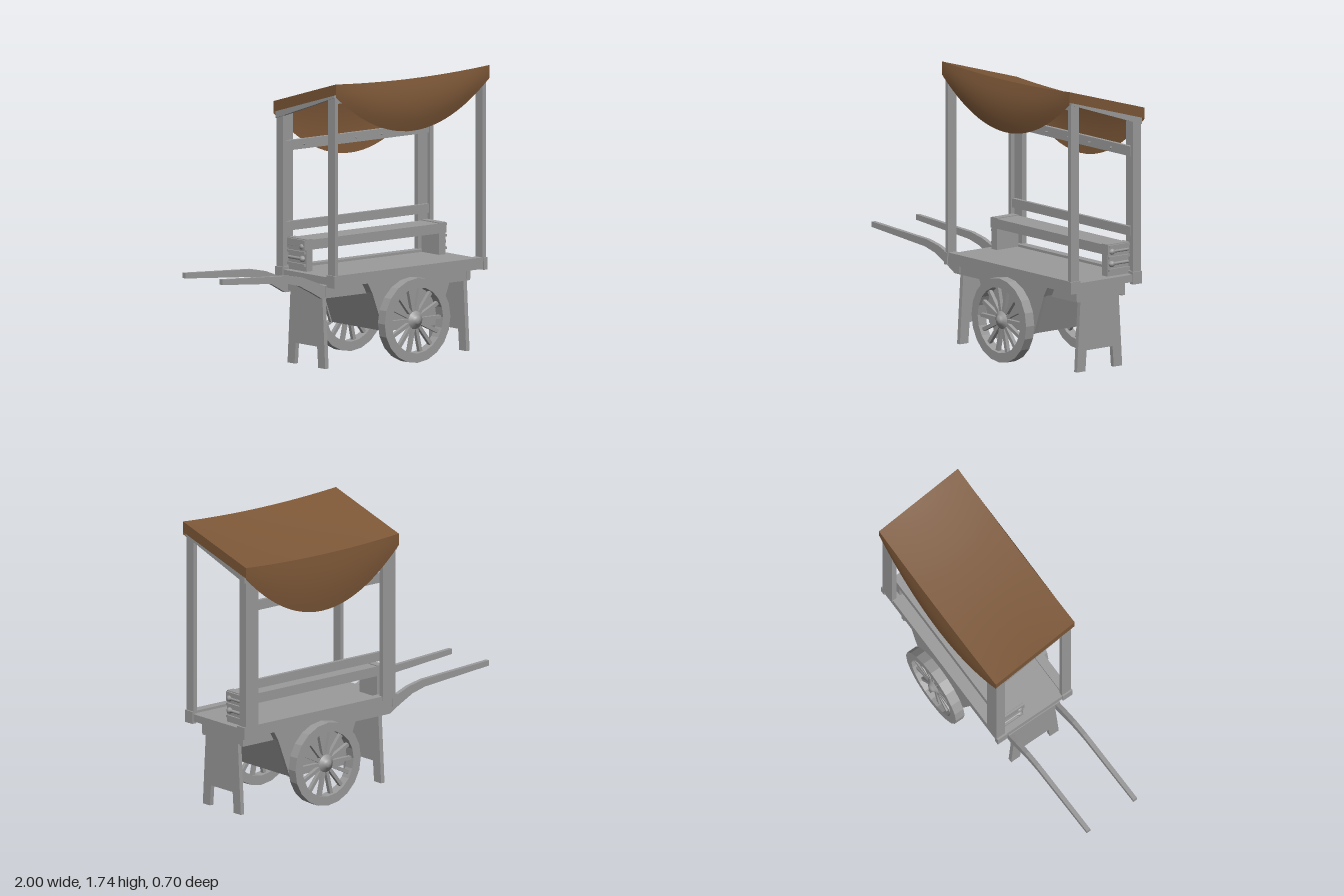
import * as THREE from 'three';

const CX = 0.395; // middle of the cart body along x
const HALF = 0.601; // half length of the canopy

export function createModel() {
  const root = new THREE.Group();
  root.name = 'marketCart';
  const wood = new THREE.MeshStandardMaterial({ color: 0x9b9b9b });
  wood.name = 'grey wood';
  const cloth = new THREE.MeshStandardMaterial({ color: 0x7c5737, side: THREE.DoubleSide });
  cloth.name = 'brown cloth';

  const add = (name, geo, mat = wood, parent = root) => {
    const m = new THREE.Mesh(geo, mat);
    m.name = name;
    parent.add(m);
    return m;
  };
  // box from its minimum and maximum corners
  const box = (name, x0, x1, y0, y1, z0, z1) => {
    const m = add(name, new THREE.BoxGeometry(x1 - x0, y1 - y0, z1 - z0));
    m.position.set((x0 + x1) / 2, (y0 + y1) / 2, (z0 + z1) / 2);
    return m;
  };
  const plate = (pts, depth) => new THREE.ExtrudeGeometry(
    new THREE.Shape(pts.map(p => new THREE.Vector2(p[0], p[1]))), { depth, bevelEnabled: false });
  // the same box at both ends of the body; distances run outward from CX
  const ends = (name, d0, d1, y0, y1, z0, z1) => {
    box(name, CX + d0, CX + d1, y0, y1, z0, z1);
    box(name, CX - d1, CX - d0, y0, y1, z0, z1);
  };

  // deck with its edge rails and corner blocks
  box('deck', -0.19, 0.98, 0.515, 0.56, -0.22, 0.22);
  for (const z of [-0.268, 0.212]) box('deckRail', -0.18, 0.97, 0.505, 0.575, z, z + 0.056);
  ends('deckEndRail', 0.57, 0.592, 0.515, 0.56, -0.21, 0.21);
  for (const z of [-0.275, 0.205]) ends('cornerBlock', 0.57, 0.6, 0.5, 0.575, z, z + 0.07);

  // posts: thin in front, L-shaped behind
  ends('frontPost', 0.565, 0.59, 0.55, 1.69, 0.205, 0.27);
  ends('backPost', 0.562, 0.588, 0.55, 1.54, -0.275, -0.215);
  ends('backPostBoard', 0.49, 0.562, 0.55, 1.56, -0.275, -0.24);

  // sloping roof rails at the ends and a long one along the front
  for (const x of [CX - 0.598, CX + 0.565]) {
    const rail = add('roofEndRail', plate(
      [[-0.272, 1.695], [-0.272, 1.655], [0.275, 1.47], [0.275, 1.545]], 0.033));
    rail.rotation.y = Math.PI / 2;
    rail.position.x = x;
  }
  box('roofFrontRail', -0.17, 0.96, 1.61, 1.66, 0.215, 0.24);

  // back boards, the upper one with pegs
  box('upperBackBoard', -0.163, 0.95, 1.275, 1.335, -0.24, -0.217);
  box('lowerBackBoard', -0.163, 0.95, 0.79, 0.845, -0.24, -0.217);
  for (let i = 0; i < 5; i++) {
    const peg = add('peg', new THREE.CylinderGeometry(0.005, 0.005, 0.02, 8));
    peg.rotation.x = Math.PI / 2;
    peg.position.set(-0.03 + i * 0.202, 1.303, -0.21);
  }

  // shelf with end supports and turned spindles
  box('shelf', -0.163, 0.948, 0.69, 0.75, -0.215, -0.05);
  ends('shelfSupport', 0.495, 0.545, 0.555, 0.755, -0.215, -0.05);
  const spindle = new THREE.LatheGeometry([[0, -0.08], [0.01, -0.07], [0.009, 0.035],
    [0.019, 0.048], [0.019, 0.062], [0.01, 0.073], [0, 0.075]].map(p => new THREE.Vector2(...p)), 12);
  for (const y of [0.635, 0.71]) for (const s of [-1, 1]) {
    const m = add('spindle', spindle);
    m.rotation.x = Math.PI / 2;
    m.position.set(CX + s * 0.549, y, -0.135);
  }
  for (const y of [0.59, 0.665, 0.735]) ends('shelfSlat', 0.54, 0.558, y, y + 0.015, -0.215, -0.055);

  // shafts: long beams that bend up into the handles
  const shaft = plate([[0.935, 0.43], [0.935, 0.505], [-0.2, 0.505], [-0.27, 0.535], [-0.37, 0.573],
    [-0.48, 0.595], [-1, 0.623], [-1, 0.59], [-0.5, 0.55], [-0.4, 0.525], [-0.3, 0.475], [-0.22, 0.43]], 0.027);
  for (const z of [-0.19, 0.153]) add('shaft', shaft).position.z = z;

  // leg boards with a notch at the floor
  const legs = plate([[-0.175, 0.003], [-0.11, 0.003], [-0.1, 0.13], [0.1, 0.13], [0.11, 0.003],
    [0.175, 0.003], [0.145, 0.49], [-0.145, 0.49]], 0.027);
  for (const x of [-0.196, 0.907]) {
    const m = add('legBoard', legs);
    m.rotation.y = Math.PI / 2;
    m.position.set(x, 0, 0.005);
    box('legCrossbar', x - 0.003, x + 0.03, 0.44, 0.505, -0.18, 0.185);
  }

  // tapered chest between the wheels, with side boards
  const chest = [[-0.21, 0.2], [0.21, 0.2], [0.3, 0.44], [0.34, 0.51], [-0.34, 0.51], [-0.3, 0.44]];
  const core = add('chest', plate(chest.map(([x, y]) => [x * 0.96, y]), 0.47));
  core.position.set(CX + 0.015, 0, -0.235);
  for (const z of [-0.255, 0.235]) add('chestSide', plate(chest, 0.02)).position.set(CX + 0.015, 0, z);

  // wheels: faceted rim, spokes and a turned hub
  const ring = new THREE.Shape();
  const hole = new THREE.Path();
  for (let i = 0; i <= 20; i++) {
    const a = i / 20 * Math.PI * 2;
    const o = i ? 'lineTo' : 'moveTo';
    ring[o](0.257 * Math.cos(a), 0.257 * Math.sin(a));
    hole[o](0.2 * Math.cos(a), 0.2 * Math.sin(a));
  }
  ring.holes.push(hole);
  const rim = new THREE.ExtrudeGeometry(ring, { depth: 0.064, bevelEnabled: false });
  rim.translate(0, 0, -0.032);
  const hub = new THREE.LatheGeometry([[0, -0.03], [0.05, -0.028], [0.06, 0], [0.055, 0.012],
    [0.034, 0.022], [0.026, 0.034], [0.015, 0.041], [0, 0.043]].map(p => new THREE.Vector2(...p)), 16);
  hub.rotateX(Math.PI / 2);
  const spoke = new THREE.BoxGeometry(0.022, 0.17, 0.024);
  spoke.translate(0, 0.125, 0);
  for (const s of [1, -1]) {
    const wheel = new THREE.Group();
    wheel.name = s > 0 ? 'frontWheel' : 'backWheel';
    wheel.position.set(0.392, 0.258, s * 0.308);
    if (s < 0) wheel.rotation.y = Math.PI;
    add('rim', rim, wood, wheel);
    add('hub', hub, wood, wheel);
    for (let i = 0; i < 14; i++) add('spoke', spoke, wood, wheel).rotation.z = (i + 0.5) / 14 * Math.PI * 2;
    root.add(wheel);
  }
  const axle = add('axle', new THREE.CylinderGeometry(0.012, 0.012, 0.6, 10));
  axle.rotation.x = Math.PI / 2;
  axle.position.set(0.392, 0.258, 0);

  // canopy cloth: a grid swept along x by a rule f(u, t) -> [x, y, z]
  const sheet = (name, f, nu, nt) => {
    const pos = [], idx = [];
    for (let i = 0; i <= nu; i++) for (let j = 0; j <= nt; j++) pos.push(...f(i / nu * 2 - 1, j / nt));
    for (let i = 0; i < nu; i++) for (let j = 0; j < nt; j++) {
      const a = i * (nt + 1) + j, b = a + nt + 1;
      idx.push(a, a + 1, b, b, a + 1, b + 1);
    }
    const g = new THREE.BufferGeometry();
    g.setAttribute('position', new THREE.Float32BufferAttribute(pos, 3));
    g.setIndex(idx);
    g.computeVertexNormals();
    return add(name, g, cloth);
  };
  const X = u => CX + u * HALF;
  // the top slopes to the back and sags between the ends, most along its middle
  const topY = (u, z) => 1.655 + z * 0.29 - (1 - u * u) * (0.022 + 0.01 * (1 - (z / 0.29) ** 2));
  sheet('canopyTop', (u, t) => {
    const z = -0.29 + 0.58 * t;
    return [X(u), topY(u, z), z];
  }, 24, 8);
  // hanging flaps, deepest in the middle and bulging outward
  const flap = (name, s, low, rise, out) => sheet(name, (u, t) => {
    const top = topY(u, s * 0.29);
    const y = top + (low + rise * u * u - top) * t;
    const bulge = out * Math.sin(Math.PI * t) * (1 - u * u);
    return [X(u), y, s * (0.29 + bulge)];
  }, 24, 10);
  flap('frontFlap', 1, 1.4, 0.26, 0.028);
  flap('backFlap', -1, 1.2, 0.3, 0.014);
  for (const s of [-1, 1]) sheet('endFlap', (u, t) => {
    const z = u * 0.29;
    return [X(s), topY(1, z) - 0.065 * t, z];
  }, 8, 1);

  return root;
}
